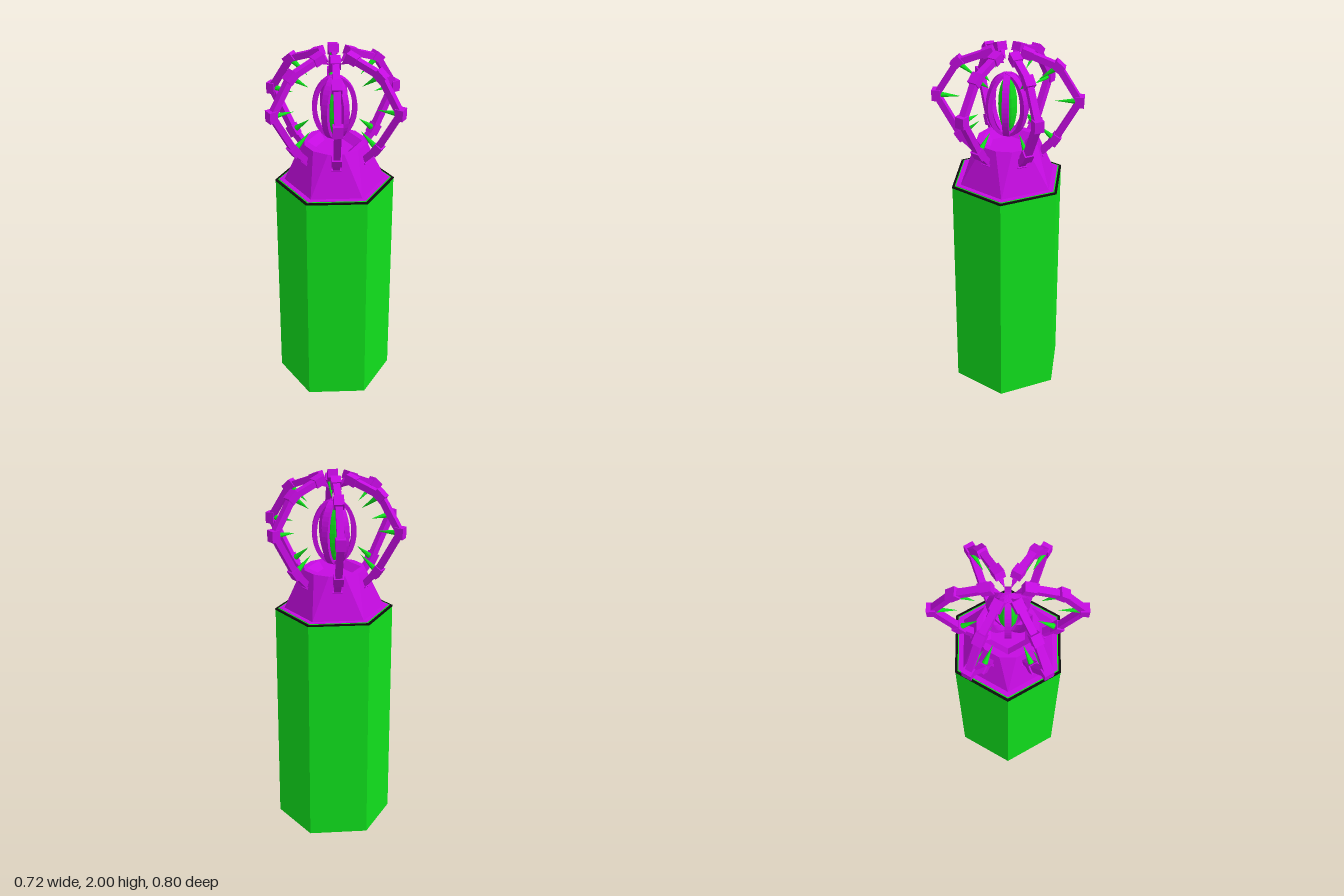
import * as THREE from 'three';

const mat = (color) => new THREE.MeshStandardMaterial({ color, flatShading: true, side: THREE.DoubleSide });

export function createModel() {
  const model = new THREE.Group();
  const green = mat(0x10e01c), purple = mat(0xc40be0), black = mat(0x0c0c0c);

  const add = (parent, name, geometry, material) => {
    const mesh = new THREE.Mesh(geometry, material);
    mesh.name = name;
    parent.add(mesh);
    return mesh;
  };
  const polar = (r, deg, y) => {
    const a = THREE.MathUtils.degToRad(deg);
    return new THREE.Vector3(r * Math.cos(a), y, -r * Math.sin(a));
  };
  // Hexagonal prism with corners on the x axis
  const hexPrism = (name, r, y0, y1, material) => {
    const g = new THREE.CylinderGeometry(r, r, y1 - y0, 6, 1, false, Math.PI / 6);
    add(model, name, g, material).position.y = (y0 + y1) / 2;
  };

  // Column and its stepped cap
  hexPrism('column', 0.32, 0, 1.257, green);
  hexPrism('blackRim', 0.322, 1.257, 1.264, black);
  hexPrism('innerRim', 0.307, 1.257, 1.266, green);
  hexPrism('capPlate', 0.3, 1.257, 1.268, purple);

  // Tapered pedestal: hexagon at the foot, twelve points at the top, shallow hexagonal pit
  const tris = [];
  const tri = (...p) => p.forEach((v) => tris.push(v.x, v.y, v.z));
  for (let k = 0; k < 6; k++) {
    const a = k * 60;
    const foot = polar(0.272, a, 1.266), nextFoot = polar(0.272, a + 60, 1.266);
    const t0 = polar(0.167, a - 15, 1.49), t1 = polar(0.167, a + 15, 1.49), t2 = polar(0.167, a + 45, 1.49);
    const p0 = polar(0.145, a, 1.49), p1 = polar(0.145, a + 60, 1.49);
    const f0 = polar(0.1, a, 1.455), f1 = polar(0.1, a + 60, 1.455);
    tri(foot, t1, t0);
    tri(foot, nextFoot, t2); tri(foot, t2, t1);
    tri(t0, t1, p0);
    tri(t1, t2, p1); tri(t1, p1, p0);
    tri(p0, p1, f1); tri(p0, f1, f0);
    tri(f0, f1, new THREE.Vector3(0, 1.455, 0));
  }
  const pedestal = new THREE.BufferGeometry();
  pedestal.setAttribute('position', new THREE.Float32BufferAttribute(tris, 3));
  pedestal.computeVertexNormals();
  add(model, 'pedestal', pedestal, purple);

  // Cage of six crescent ribs around a slim core
  const cage = new THREE.Group();
  cage.name = 'cage';
  cage.position.y = 1.687;
  model.add(cage);
  const crescent = new THREE.Shape();
  crescent.absellipse(0, 0, 0.118, 0.176, -Math.PI / 2, Math.PI / 2, false);
  crescent.absellipse(0, 0, 0.092, 0.163, Math.PI / 2, -Math.PI / 2, true);
  const ribGeometry = new THREE.ExtrudeGeometry(crescent, { depth: 0.034, bevelEnabled: false, curveSegments: 10 });
  ribGeometry.translate(0, 0, -0.017);
  for (let k = 0; k < 6; k++) add(cage, 'rib', ribGeometry, purple).rotation.y = k * Math.PI / 3;
  add(cage, 'core', new THREE.SphereGeometry(1, 12, 10), green).scale.set(0.05, 0.158, 0.05);

  // Jointed arms curving around the cage, drawn in a plane as radius and height
  const nodes = [[0.165, 1.41], [0.25, 1.5], [0.375, 1.725], [0.26, 1.91], [0.1, 1.972]]
    .map(([r, y]) => new THREE.Vector3(r, y, 0));
  const up = new THREE.Vector3(0, 1, 0);
  const along = (mesh, from, to) => {
    mesh.position.copy(from).lerp(to, 0.5);
    mesh.quaternion.setFromUnitVectors(up, to.clone().sub(from).normalize());
  };
  const heart = new THREE.Vector3(0, 1.71, 0);
  for (let k = 0; k < 6; k++) {
    const arm = new THREE.Group();
    arm.name = 'arm';
    arm.rotation.y = Math.PI / 6 + k * Math.PI / 3;
    model.add(arm);
    nodes.forEach((node, i) => {
      if (i > 0) {
        const rod = new THREE.BoxGeometry(0.034, node.distanceTo(nodes[i - 1]), 0.036);
        along(add(arm, 'rod', rod, purple), nodes[i - 1], node);
      }
      // Joint block turned to follow the bend
      const before = nodes[Math.max(i - 1, 0)], after = nodes[Math.min(i + 1, 4)];
      const joint = add(arm, 'joint', new THREE.BoxGeometry(0.046, i === 0 ? 0.04 : 0.06, 0.052), purple);
      along(joint, before, after);
      joint.position.copy(node);
      // Inward spikes on the middle joints
      if (i > 0 && i < 4) {
        const dir = heart.clone().sub(node).normalize();
        const base = node.clone().addScaledVector(dir, 0.02), tip = node.clone().addScaledVector(dir, 0.13);
        along(add(arm, 'spike', new THREE.ConeGeometry(0.016, 0.11, 8), green), base, tip);
      }
    });
    // Claw at the tip
    const root = new THREE.Vector3(0.1, 1.975, 0), tip = new THREE.Vector3(0.03, 1.925, 0);
    const claw = add(arm, 'claw', new THREE.ConeGeometry(0.03, root.distanceTo(tip), 4, 1, false, Math.PI / 4), purple);
    along(claw, root, tip);
  }
  return model;
}
